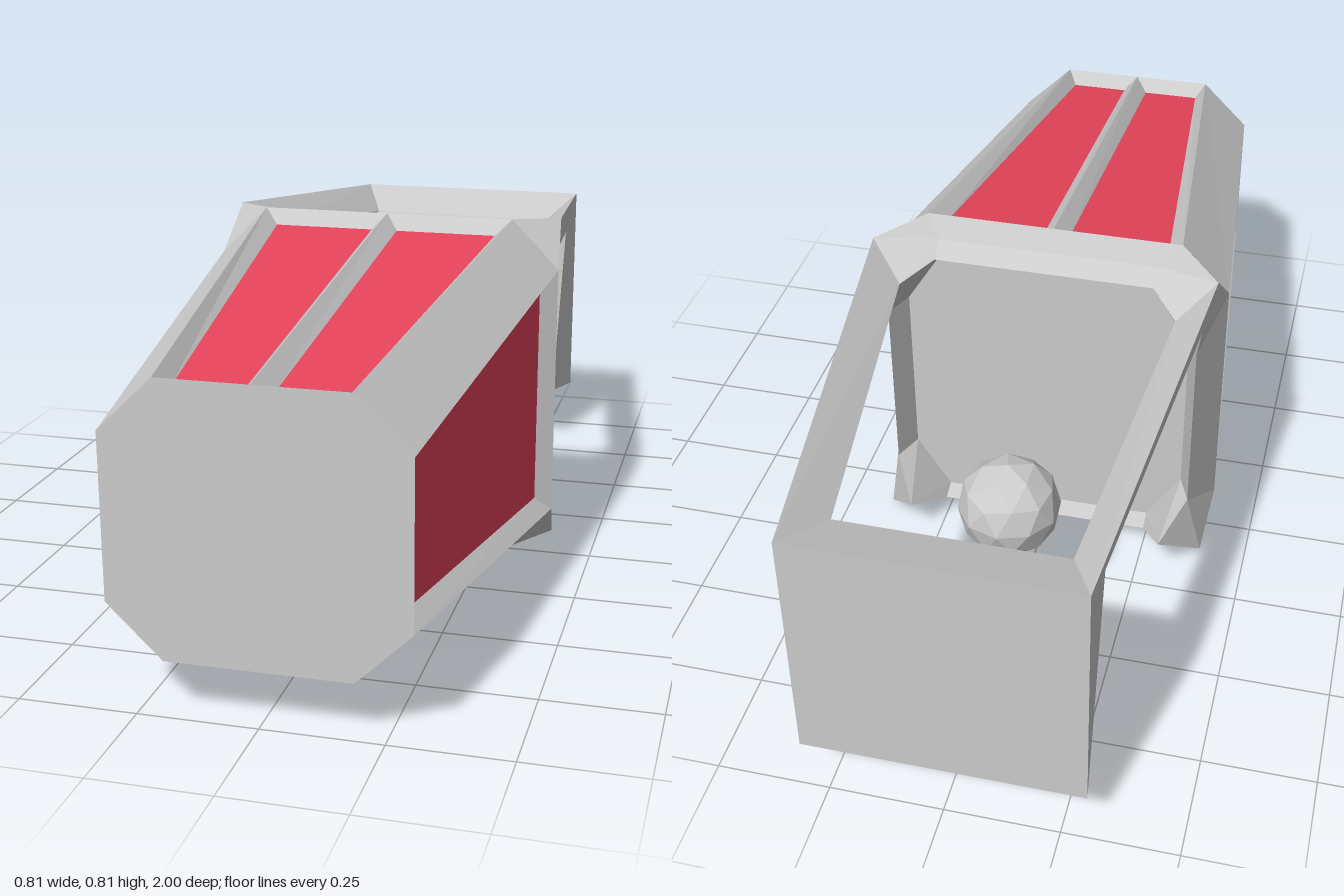
import * as THREE from 'three';
import { ConvexGeometry } from 'three/addons/geometries/ConvexGeometry.js';

const grey = new THREE.MeshStandardMaterial({ color: 0xcccccc, flatShading: true });
const red = new THREE.MeshStandardMaterial({ color: 0xe6435a, flatShading: true });

const MID = 0.406; // height of the symmetry plane; coordinates below are relative to it
const mirror = (pts, sx, sy) => pts.map(([x, y, z]) => [x * sx, y * sy, z]);

// Flat faces from corner loops of four
function quads(loops) {
  const pos = [];
  for (const [a, b, c, d] of loops) pos.push(...a, ...b, ...c, ...a, ...c, ...d);
  const g = new THREE.BufferGeometry();
  g.setAttribute('position', new THREE.Float32BufferAttribute(pos, 3));
  g.computeVertexNormals();
  return g;
}

export function createModel() {
  const model = new THREE.Group();
  const add = (name, geometry, material = grey) => {
    const mesh = new THREE.Mesh(geometry, material);
    mesh.name = name;
    mesh.position.y = MID;
    model.add(mesh);
    return mesh;
  };
  const hull = (name, pts) =>
    add(name, new ConvexGeometry(pts.map((p) => new THREE.Vector3(...p))));

  // Bevelled frame around a sunken coloured panel
  const recess = (name, outer, inner, sx, sy) => {
    let o = mirror(outer, sx, sy), i = mirror(inner, sx, sy);
    if (sx * sy < 0) { o = o.reverse(); i = i.reverse(); }
    add(name + 'Frame', quads(o.map((p, k) => [p, o[(k + 1) % 4], i[(k + 1) % 4], i[k]])));
    add(name + 'Panel', quads([i]), red);
  };

  // Octagon corners of the body at its wide rear and narrow front
  const T0 = [0.295, 0.405, 0], S0 = [0.405, 0.293, 0];
  const T1 = [0.19, 0.285, 1], S1 = [0.305, 0.173, 1];
  const octagon = (t, s) => new THREE.ShapeGeometry(new THREE.Shape(
    [[t, 1, 1], [t, -1, 1], [s, -1, 1], [s, -1, -1], [t, -1, -1], [t, 1, -1], [s, 1, -1], [s, 1, 1]]
      .map(([p, sx, sy]) => new THREE.Vector2(p[0] * sx, p[1] * sy))));
  add('frontCap', octagon(T1, S1)).position.z = 1;

  // Rim reference points: its outer faces lean inwards to the rear
  const C = [0.392, 0.392, -0.11];
  const topFold = [0.25, 0.385, -0.07], topOut = [0.25, 0.355, -0.11], topIn = [0.25, 0.34, -0.07];
  const sideOut = [0.358, 0.214, -0.14], sideIn = [0.33, 0.214, -0.07];
  const wall = add('rearWall', octagon(topOut, sideIn));
  wall.rotation.y = Math.PI;
  wall.position.z = -0.07;

  // Arm reference points: the upper face slopes down to the inside
  const armOut = [0.37, 0.289, -0.155], armIn = [0.312, 0.325, -0.18];
  const backTop = [0.305, 0.285, -1];
  const backOut = [0.3, 0.204, -0.845], backIn = [0.242, 0.234, -0.86];

  for (const sy of [1, -1]) {
    hull(sy > 0 ? 'topRim' : 'bottomRim',
      [1, -1].flatMap((sx) => mirror([T0, topFold, topOut, topIn], sx, sy)));
    const sunk = sy > 0 ? 0.034 : 0.023;

    for (const sx of [1, -1]) {
      // Two sunken panels per face, parted by a pointed ridge
      recess(sy > 0 ? 'top' : 'bottom',
        [[0, 0.405, 0], [0, 0.285, 1], T1, T0],
        [[0.03, 0.405 - sunk, 0.03], [0.03, 0.289 - sunk, 0.97],
          [0.168, 0.289 - sunk, 0.97], [0.26, 0.405 - sunk, 0.03]],
        sx, sy);

      // Sloped corner faces of the body
      const corner = mirror([T0, T1, S1, S0], sx, sy);
      add('bodyCorner', quads([sx * sy < 0 ? corner.reverse() : corner]));

      // Rim corners: the upper ones carry the arms, the lower ones end in pointed stubs
      const joint = sy > 0 ? [armOut, armIn] : [[0.305, 0.296, -0.222]];
      hull(sy > 0 ? 'upperRimCorner' : 'lowerRimCorner',
        mirror([T0, S0, C, topFold, topOut, topIn, sideOut, sideIn, ...joint], sx, sy));
    }
  }

  for (const sx of [1, -1]) {
    hull('sideRim', [1, -1].flatMap((sy) => mirror([S0, sideOut, sideIn], sx, sy)));

    recess('side',
      [S0, S1, [0.305, -0.173, 1], [0.405, -0.293, 0]],
      [[0.368, 0.257, 0.03], [0.274, 0.146, 0.97], [0.274, -0.146, 0.97], [0.368, -0.257, 0.03]],
      sx, 1);

    // Three-sided arm reaching back
    hull('arm', mirror([C, armOut, armIn, backTop, backOut, backIn], sx, 1));
  }

  // Thick plate across the rear ends of the arms
  hull('rearPlate', [1, -1].flatMap((sx) => mirror(
    [backTop, backOut, backIn, [0.305, -0.281, -1], [0.278, -0.256, -0.83]], sx, 1)));

  // Faceted ball floating in the gap
  const ball = add('ball', new THREE.IcosahedronGeometry(0.115, 1).rotateZ(-Math.atan(2 / (1 + Math.sqrt(5)))));
  ball.position.set(0, 0.355, -0.43);

  return model;
}
